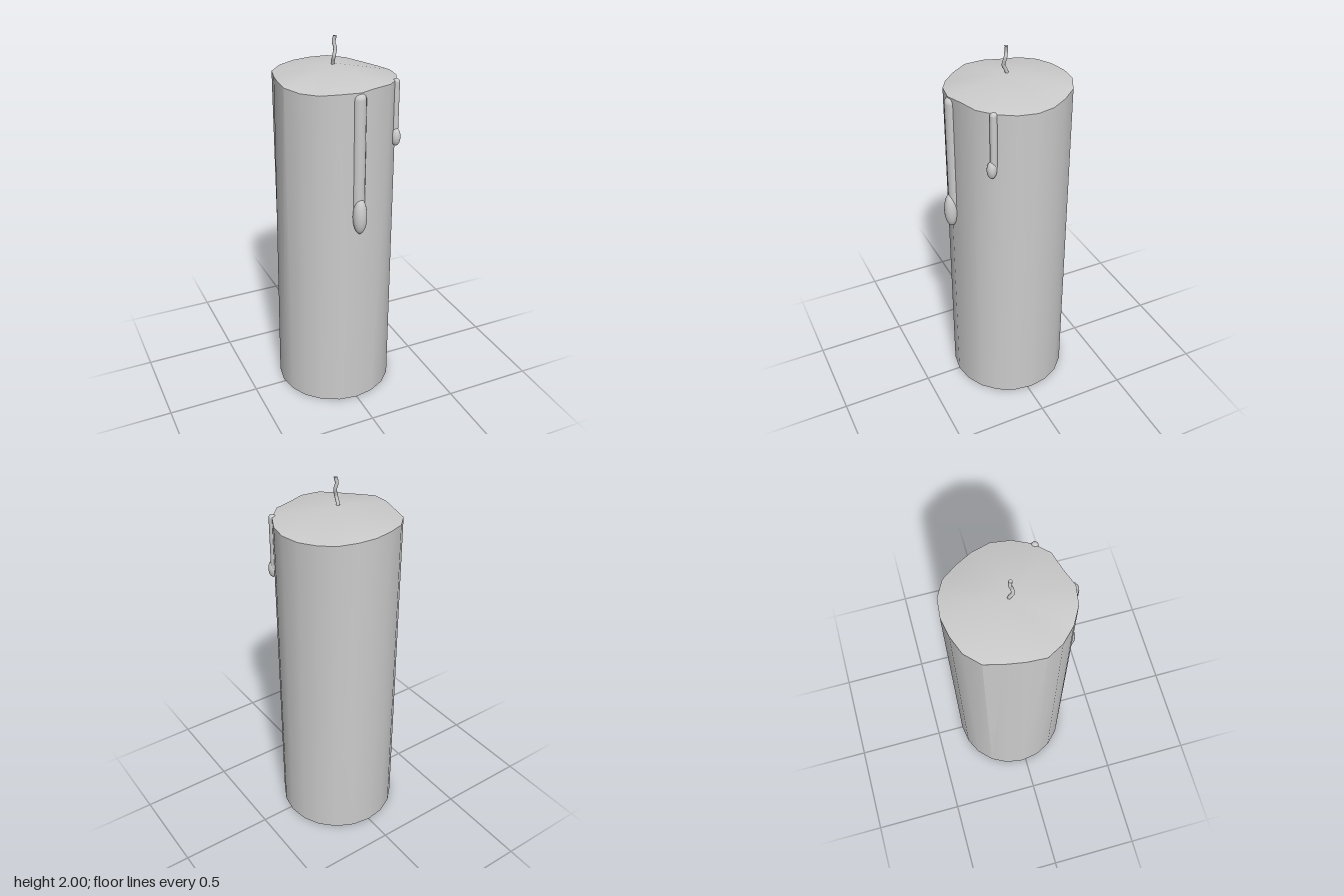
import * as THREE from 'three';
import { toCreasedNormals } from 'three/addons/utils/BufferGeometryUtils.js';

const SIDES = 20, RADIUS = 0.32, CENTRE_Z = -0.022, RIM_Y = 1.8, PEAK_Y = 1.86;

// Uneven melted rim, counted from the front round towards +x
const RIM_SCALE = [1, 0.94, 1, 1, 1, 1, 0.97, 0.96, 1, 1, 0.98, 0.97, 1, 1, 0.93, 0.94, 1, 0.985, 0.985, 1];
const RIM_HEIGHT = [1.8, 1.8, 1.8, 1.795, 1.79, 1.787, 1.785, 1.79, 1.8, 1.81,
  1.81, 1.81, 1.805, 1.8, 1.8, 1.805, 1.8, 1.79, 1.79, 1.8];

function addMesh(parent, name, geometry, material) {
  const mesh = new THREE.Mesh(geometry, material);
  mesh.name = name;
  parent.add(mesh);
  return mesh;
}

// Candle body: a cylinder whose top ring is melted and whose top centre is raised
function bodyGeometry() {
  const geometry = new THREE.CylinderGeometry(RADIUS, RADIUS, RIM_Y, SIDES);
  geometry.translate(0, RIM_Y / 2, 0);
  const p = geometry.attributes.position;
  for (let i = 0; i < p.count; i++) {
    if (p.getY(i) < RIM_Y - 0.01) continue;
    const x = p.getX(i), z = p.getZ(i);
    if (Math.hypot(x, z) < 0.01) {
      p.setY(i, PEAK_Y);
      continue;
    }
    const k = (Math.round(Math.atan2(x, z) / (Math.PI * 2) * SIDES) + SIDES) % SIDES;
    p.setXYZ(i, x * RIM_SCALE[k], RIM_HEIGHT[k], z * RIM_SCALE[k]);
  }
  geometry.translate(0, 0, CENTRE_Z);
  return toCreasedNormals(geometry, Math.PI / 6);
}

// Wax drip: a rounded run down the side ending in a swollen drop
function makeDrip(name, material, { x, z, radius, top, drop }) {
  const drip = new THREE.Group();
  drip.name = name;
  const length = top - drop.y;
  const run = addMesh(drip, 'dripRun', new THREE.CapsuleGeometry(radius, length - 2 * radius, 6, 16), material);
  run.position.set(x, top - length / 2, z);
  const bead = addMesh(drip, 'dripDrop', new THREE.SphereGeometry(1, 20, 14), material);
  bead.scale.set(drop.radius, drop.halfHeight, drop.radius);
  bead.position.set(drop.x, drop.y, drop.z);
  return drip;
}

export function createModel() {
  const candle = new THREE.Group();
  candle.name = 'candle';
  const wax = new THREE.MeshStandardMaterial({ color: 0xcccccc });

  addMesh(candle, 'body', bodyGeometry(), wax);

  candle.add(
    makeDrip('longDrip', wax, {
      x: 0, z: 0.281, radius: 0.034, top: 1.798,
      drop: { x: 0, y: 1.155, z: 0.304, radius: 0.037, halfHeight: 0.098 },
    }),
    makeDrip('shortDrip', wax, {
      x: 0.252, z: 0.176, radius: 0.018, top: 1.805,
      drop: { x: 0.253, y: 1.502, z: 0.187, radius: 0.025, halfHeight: 0.047 },
    }),
  );

  // Wick: a thin wavy cord with a flat tip
  const path = new THREE.CatmullRomCurve3([
    new THREE.Vector3(-0.002, 1.84, -0.022),
    new THREE.Vector3(-0.006, 1.87, -0.014),
    new THREE.Vector3(-0.006, 1.9, 0),
    new THREE.Vector3(0.003, 1.94, -0.006),
    new THREE.Vector3(-0.002, 1.97, -0.012),
    new THREE.Vector3(0.004, 2, -0.009),
  ]);
  const wick = new THREE.Group();
  wick.name = 'wick';
  addMesh(wick, 'wickCord', new THREE.TubeGeometry(path, 24, 0.009, 10), wax);
  const tip = addMesh(wick, 'wickTip', new THREE.CircleGeometry(0.009, 10), wax);
  tip.rotation.x = -Math.PI / 2;
  tip.position.copy(path.getPoint(1));
  candle.add(wick);

  return candle;
}
